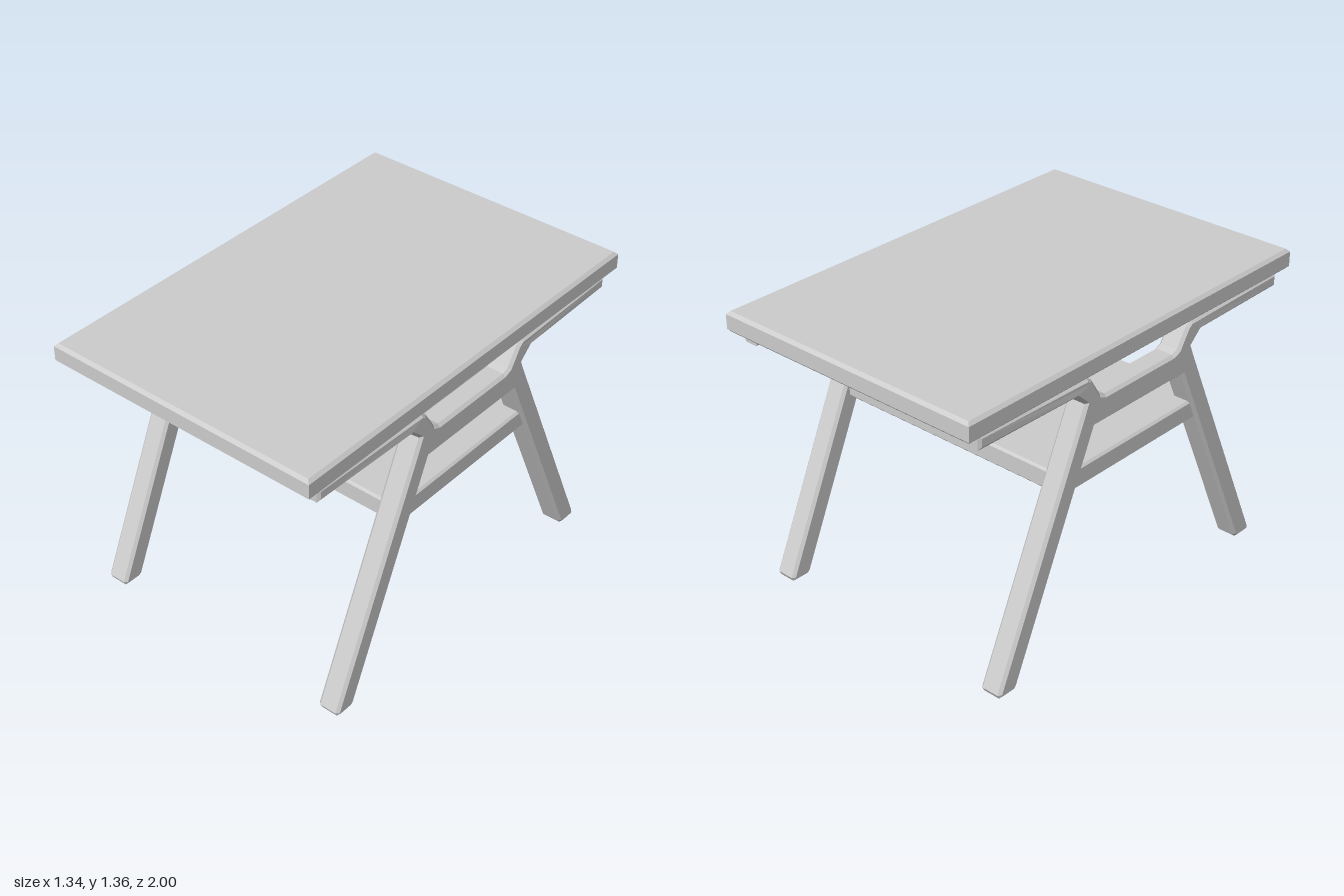
import * as THREE from 'three';

const greyPaint = new THREE.MeshStandardMaterial({ name: 'greyPaint', color: 0xcccccc });

// Chamfered extrusion of an outline, centred along its depth, outline size kept
function chamferedExtrude(points, depth, bevel) {
  const shape = new THREE.Shape(points.map(([x, y]) => new THREE.Vector2(x, y)));
  const geometry = new THREE.ExtrudeGeometry(shape, {
    depth: depth - 2 * bevel,
    bevelEnabled: true,
    bevelSegments: 1,
    bevelSize: bevel,
    bevelThickness: bevel,
    bevelOffset: -bevel,
  });
  return geometry.translate(0, 0, -(depth - 2 * bevel) / 2);
}

// Horizontal board with chamfered edges
function board(name, width, height, length, bottom, bevel) {
  const w = width / 2, l = length / 2;
  const geometry = chamferedExtrude([[-w, -l], [w, -l], [w, l], [-w, l]], height, bevel);
  geometry.rotateX(-Math.PI / 2).translate(0, bottom + height / 2, 0);
  const mesh = new THREE.Mesh(geometry, greyPaint);
  mesh.name = name;
  return mesh;
}

// Half of the side frame outline (z, y): underside, splayed leg, arm, notch
const halfOutline = [
  [0.28, 1.03], [0.735, 0.015], [0.752, 0], [0.832, 0], [0.842, 0.02],
  [0.365, 1.08], [0.335, 1.15], [0.39, 1.2], [0.93, 1.2], [0.93, 1.262],
  [0.325, 1.262], [0.3, 1.245], [0.245, 1.16], [0.215, 1.148],
];

function sideFrame(name, x) {
  const mirrored = halfOutline.map(([z, y]) => [-z, y]).reverse();
  const geometry = chamferedExtrude([...halfOutline, ...mirrored], 0.106, 0.013);
  // Narrow the arms towards their ends
  const p = geometry.attributes.position;
  for (let i = 0; i < p.count; i++) {
    if (Math.abs(p.getX(i)) > 0.9) p.setZ(i, p.getZ(i) * 0.78);
  }
  geometry.computeVertexNormals();
  geometry.rotateY(Math.PI / 2);
  const mesh = new THREE.Mesh(geometry, greyPaint);
  mesh.name = name;
  mesh.position.x = x;
  return mesh;
}

export function createModel() {
  const table = new THREE.Group();
  table.name = 'table';
  table.add(
    board('tableTop', 1.336, 0.095, 2, 1.26, 0.014),
    board('lowerShelf', 1.3, 0.095, 0.91, 0.775, 0.01),
    sideFrame('leftFrame', 0.612),
    sideFrame('rightFrame', -0.612),
  );
  return table;
}
